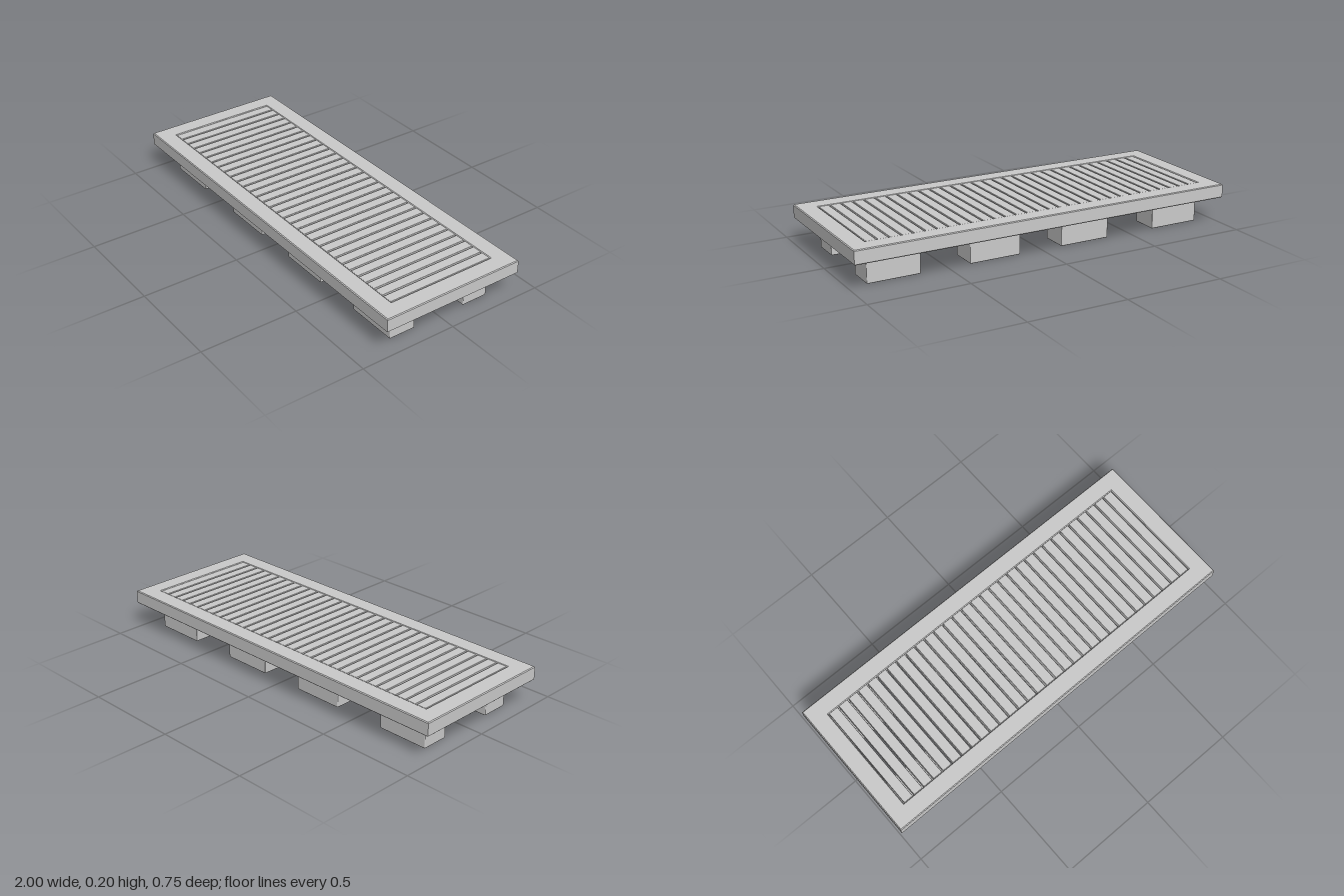
import * as THREE from 'three';
import { RoundedBoxGeometry } from 'three/addons/geometries/RoundedBoxGeometry.js';

const material = new THREE.MeshStandardMaterial({ color: 0xcccccc });

// Softly rounded block given by its lower and upper corners
function block(name, [x0, y0, z0], [x1, y1, z1], radius) {
  const geometry = new RoundedBoxGeometry(x1 - x0, y1 - y0, z1 - z0, 2, radius);
  const mesh = new THREE.Mesh(geometry, material);
  mesh.position.set((x0 + x1) / 2, (y0 + y1) / 2, (z0 + z1) / 2);
  mesh.name = name;
  return mesh;
}

function rectangle(PathType, halfX, halfZ) {
  return new PathType([
    new THREE.Vector2(-halfX, -halfZ), new THREE.Vector2(halfX, -halfZ),
    new THREE.Vector2(halfX, halfZ), new THREE.Vector2(-halfX, halfZ),
  ]);
}

export function createModel() {
  const model = new THREE.Group();
  model.name = 'slattedPlatform';
  const bottom = 0.135, top = 0.205, innerX = 0.91, innerZ = 0.285;

  // Rectangular border with slightly bevelled edges
  const bevel = 0.004;
  const outline = rectangle(THREE.Shape, 1, 0.375);
  outline.holes.push(rectangle(THREE.Path, innerX, innerZ));
  const frameGeometry = new THREE.ExtrudeGeometry(outline, {
    depth: top - bottom - 2 * bevel,
    bevelThickness: bevel, bevelSize: bevel, bevelOffset: -bevel, bevelSegments: 1,
  });
  frameGeometry.rotateX(-Math.PI / 2).translate(0, bottom + bevel, 0);
  const frame = new THREE.Mesh(frameGeometry, material);
  frame.name = 'frame';
  model.add(frame);

  // Crosswise slats, thinner than the frame and level with its top
  const slats = new THREE.Group();
  slats.name = 'slats';
  const count = 31, pitch = (2 * innerX) / count, gap = 0.008, slatBottom = 0.165;
  for (let i = 0; i < count; i++) {
    const x = -innerX + i * pitch;
    slats.add(block('slat', [x + gap / 2, slatBottom, -innerZ],
      [x + pitch - gap / 2, top - 0.001, innerZ], 0.003));
  }
  model.add(slats);

  // Two rows of four feet, reaching up to the slats
  const feet = new THREE.Group();
  feet.name = 'feet';
  for (const x of [-0.773, -0.24, 0.254, 0.773]) {
    for (const z of [-0.21, 0.213]) {
      feet.add(block('foot', [x - 0.133, 0, z - 0.069], [x + 0.133, slatBottom, z + 0.069], 0.004));
    }
  }
  model.add(feet);
  return model;
}
